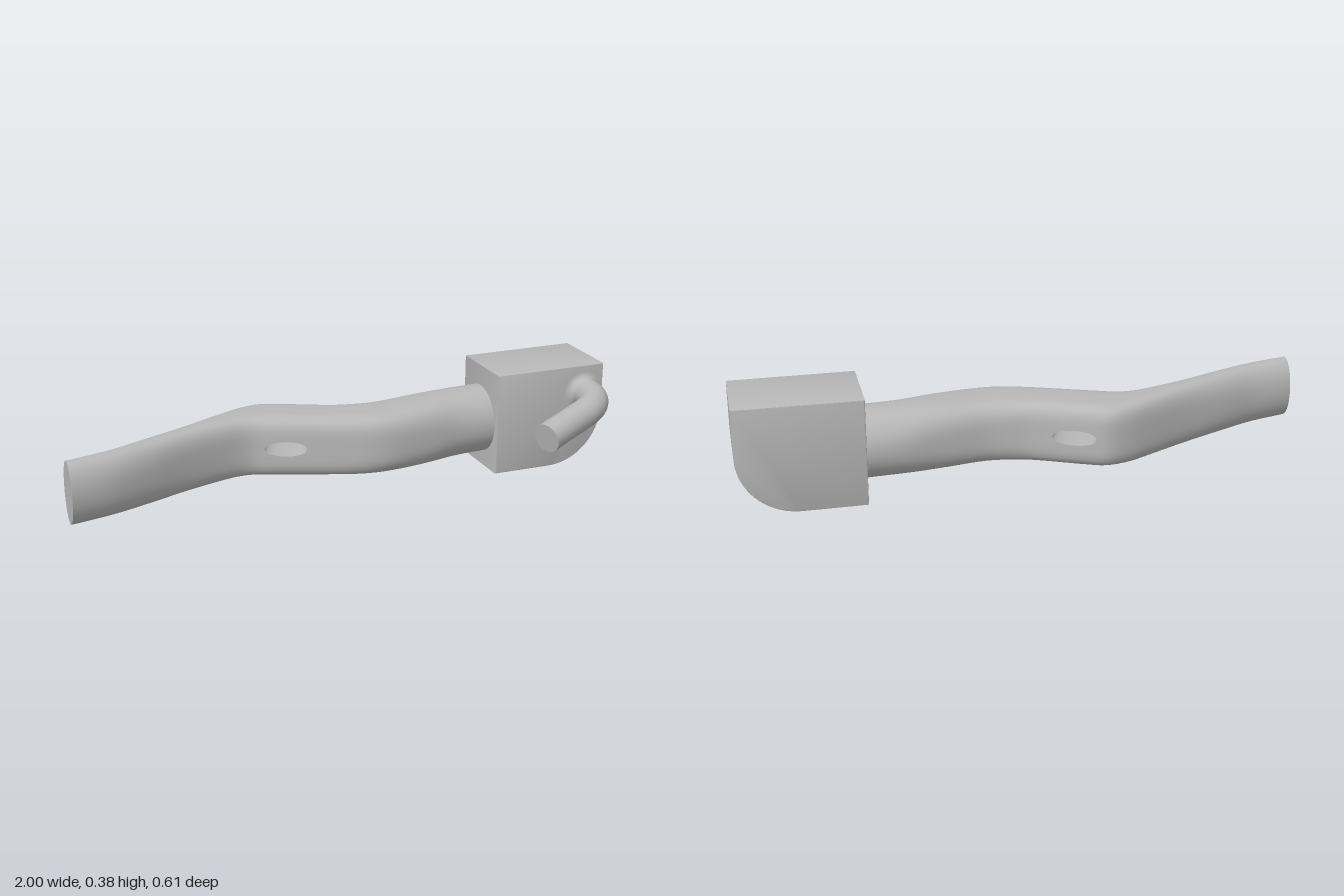
import * as THREE from 'three';
import { toCreasedNormals } from 'three/addons/utils/BufferGeometryUtils.js';

// arm stations: x, back z, front z, squareness of the section, half height
const STATIONS = [
  [-1, -0.025, 0.105, 2, 0.11],
  [-0.85, -0.064, 0.067, 2.2, 0.11],
  [-0.72, -0.115, 0.015, 2.5, 0.11],
  [-0.56, -0.18, -0.056, 3, 0.11],
  [-0.4, -0.258, -0.108, 3.8, 0.11],
  [-0.32, -0.293, -0.115, 4.5, 0.11],
  [-0.24, -0.309, -0.086, 5, 0.11],
  [-0.18, -0.289, -0.062, 5, 0.11],
  [0, -0.211, 0.01, 4.5, 0.11],
  [0.08, -0.196, 0.034, 4, 0.111],
  [0.16, -0.194, 0.04, 3.6, 0.112],
  [0.3, -0.217, 0.022, 3, 0.117],
  [0.43, -0.242, 0, 2.3, 0.121],
  [0.58, -0.256, -0.01, 2, 0.124],
];
const MID_Y = 0.176;

// smooth interpolation of one station column
function sample(x, col) {
  const s = STATIONS, last = s.length - 1;
  let i = 0;
  while (i < last - 1 && x > s[i + 1][0]) i++;
  const slope = (k) => {
    const a = s[Math.max(k - 1, 0)], b = s[Math.min(k + 1, last)];
    return (b[col] - a[col]) / (b[0] - a[0]);
  };
  const h = s[i + 1][0] - s[i][0], t = (x - s[i][0]) / h;
  const t2 = t * t, t3 = t2 * t;
  return (2 * t3 - 3 * t2 + 1) * s[i][col] + (t3 - 2 * t2 + t) * h * slope(i)
    + (3 * t2 - 2 * t3) * s[i + 1][col] + (t3 - t2) * h * slope(i + 1);
}

// point on the arm's skin; phi runs from the front (+z) over the top
function armPoint(x, phi) {
  const back = sample(x, 1), front = sample(x, 2), n = sample(x, 3);
  const c = Math.cos(phi), s = Math.sin(phi);
  const r = (Math.abs(c) ** n + Math.abs(s) ** n) ** (-1 / n);
  return [x, MID_Y + sample(x, 4) * r * s, (back + front) / 2 + (front - back) / 2 * r * c];
}

function makeGeometry(points, index) {
  const g = new THREE.BufferGeometry();
  g.setAttribute('position', new THREE.Float32BufferAttribute(points.flat(), 3));
  g.setIndex(index);
  g.computeVertexNormals();
  return g;
}

function createArm(add) {
  const ROWS = 79, SIDES = 48, STEP = 0.02, D = 2 * Math.PI / SIDES;
  const LENGTH = 9, HALF = 3; // window in the grid around each mouth of the slot
  const points = [], index = [];
  for (let i = 0; i <= ROWS; i++)
    for (let j = 0; j < SIDES; j++) points.push(armPoint(-1 + i * STEP, j * D));
  const id = (i, j) => i * SIDES + (j + SIDES) % SIDES;
  const mouths = [{ start: 35, back: false }, { start: 39, back: true }];
  const inWindow = (i, j) => mouths.some(({ start, back }) => {
    const k = back ? j - SIDES / 2 : (j + SIDES / 2) % SIDES - SIDES / 2;
    return i >= start && i < start + LENGTH && k >= -HALF && k < HALF;
  });
  for (let i = 0; i < ROWS; i++)
    for (let j = 0; j < SIDES; j++) {
      if (inWindow(i, j)) continue;
      const a = id(i, j), b = id(i + 1, j), c = id(i + 1, j + 1), d = id(i, j + 1);
      index.push(a, b, c, a, c, d);
    }

  // window outline, anticlockwise from the front
  const outline = [];
  for (let u = 0; u < LENGTH; u++) outline.push([u, -HALF]);
  for (let v = -HALF; v < HALF; v++) outline.push([LENGTH, v]);
  for (let u = LENGTH; u > 0; u--) outline.push([u, HALF]);
  for (let v = HALF; v > -HALF; v--) outline.push([0, v]);
  const N = outline.length;

  // skin between each window and its oval mouth
  const rims = mouths.map(({ start, back }) => {
    const first = points.length;
    const outer = outline.map(([u, v]) => id(start + u, back ? SIDES / 2 - v : v));
    const rim = outline.map(([u, v]) => {
      const angle = Math.atan2(v / HALF, (u - LENGTH / 2) / (LENGTH / 2));
      const x = -1 + (start + LENGTH / 2) * STEP + 0.07 * Math.cos(angle);
      const rise = Math.atan(0.245 * Math.sin(angle));
      return armPoint(x, back ? Math.PI - rise : rise);
    });
    points.push(...rim);
    for (let k = 0; k < N; k++) {
      const m = (k + 1) % N;
      const [a, b, c, d] = [outer[k], outer[m], first + m, first + k];
      if (back) index.push(a, c, b, a, d, c);
      else index.push(a, b, c, a, c, d);
    }
    return rim;
  });
  add('arm', makeGeometry(points, index));

  // inside wall of the slot
  const wall = [];
  for (let k = 0; k < N; k++) {
    const m = (k + 1) % N;
    wall.push(k, m, N + m, k, N + m, N + k);
  }
  add('slotWall', makeGeometry([...rims[0], ...rims[1]], wall));

  // flat end of the arm
  const ring = points.slice(0, SIDES), cap = [];
  for (let j = 0; j < SIDES; j++) cap.push(SIDES, j, (j + 1) % SIDES);
  add('armEnd', makeGeometry([...ring, [-1, MID_Y, 0.04]], cap));
}

function createBlock(add) {
  // block with one large rounded lower corner
  const s = new THREE.Shape();
  s.moveTo(0.57, 0);
  s.lineTo(0.79, 0);
  s.absarc(0.79, 0.21, 0.21, -Math.PI / 2, 0, false);
  s.lineTo(1, 0.376);
  s.lineTo(0.57, 0.376);
  s.closePath();
  const b = 0.004;
  const g = new THREE.ExtrudeGeometry(s, {
    depth: 0.275 - 2 * b, curveSegments: 24,
    bevelThickness: b, bevelSize: b, bevelOffset: -b, bevelSegments: 2,
  });
  g.translate(0, 0, -0.265 + b);
  add('block', toCreasedNormals(g, 0.5));
}

function createHandle(add) {
  const V = (x, y, z) => new THREE.Vector3(x, y, z);
  const R = 0.053;
  const root = V(0.928, 0.273, -0.02), bendStart = V(0.928, 0.273, 0.03);
  const corner = V(0.928, 0.273, 0.132), bendEnd = V(0.825, 0.252, 0.174), tip = V(0.64, 0.214, 0.252);
  const path = new THREE.CurvePath();
  path.add(new THREE.LineCurve3(root, bendStart));
  path.add(new THREE.QuadraticBezierCurve3(bendStart, corner, bendEnd));
  path.add(new THREE.LineCurve3(bendEnd, tip));
  add('handle', new THREE.TubeGeometry(path, 64, R, 28));

  // flat tip
  const end = add('handleTip', new THREE.CircleGeometry(R, 28));
  end.position.copy(tip);
  end.quaternion.setFromUnitVectors(V(0, 0, 1), tip.clone().sub(bendEnd).normalize());

  // fillet where the handle meets the block
  const F = 0.026, profile = [];
  for (let i = 0; i <= 8; i++) {
    const a = i / 8 * Math.PI / 2;
    profile.push(new THREE.Vector2(R + F - F * Math.sin(a), F - F * Math.cos(a)));
  }
  const fillet = add('handleFillet', new THREE.LatheGeometry(profile, 32));
  fillet.rotation.x = Math.PI / 2;
  fillet.position.set(0.921, 0.273, 0.01);
}

export function createModel() {
  const group = new THREE.Group();
  group.name = 'bentArmWithHandle';
  const grey = new THREE.MeshStandardMaterial({ color: 0xb8b8b8 });
  grey.name = 'grey';
  const add = (name, geometry) => {
    const mesh = new THREE.Mesh(geometry, grey);
    mesh.name = name;
    group.add(mesh);
    return mesh;
  };
  createArm(add);
  createBlock(add);
  createHandle(add);
  return group;
}
